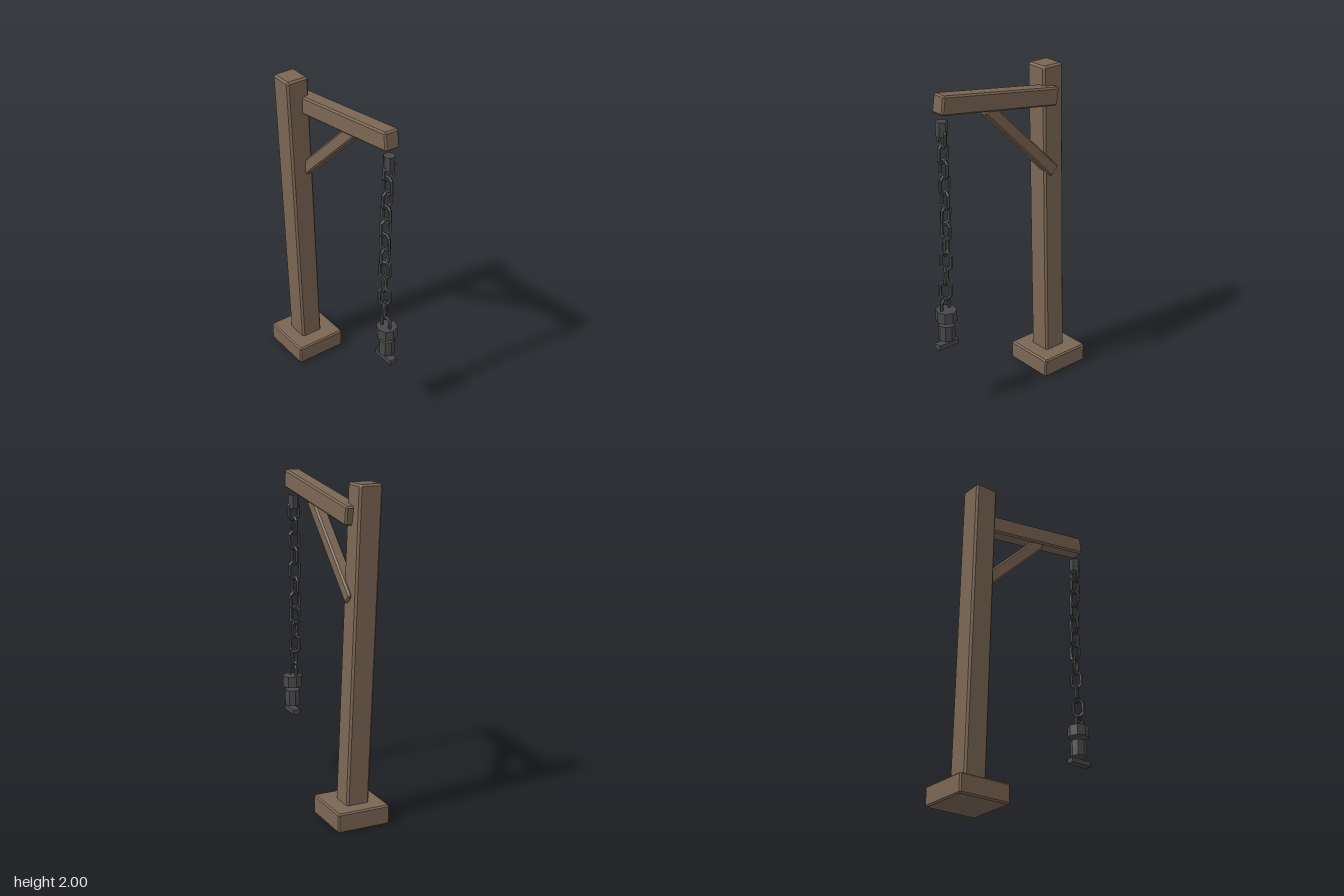
import * as THREE from 'three';
import { ConvexGeometry } from 'three/addons/geometries/ConvexGeometry.js';

// Box with flat chamfers on every edge
function chamferBox(w, h, d, c) {
  const pts = [];
  for (const sx of [-1, 1]) for (const sy of [-1, 1]) for (const sz of [-1, 1]) {
    const x = w / 2, y = h / 2, z = d / 2;
    pts.push(new THREE.Vector3(sx * x, sy * (y - c), sz * (z - c)));
    pts.push(new THREE.Vector3(sx * (x - c), sy * y, sz * (z - c)));
    pts.push(new THREE.Vector3(sx * (x - c), sy * (y - c), sz * z));
  }
  return new ConvexGeometry(pts);
}

// Faceted cylinder
function prism(radius, height, sides) {
  const g = new THREE.CylinderGeometry(radius, radius, height, sides).toNonIndexed();
  g.computeVertexNormals();
  return g;
}

// Elongated low-poly chain link standing in the xy plane
function linkGeometry() {
  let g = new THREE.TorusGeometry(0.034, 0.011, 5, 8);
  g.rotateZ(Math.PI / 8);
  const p = g.attributes.position;
  for (let i = 0; i < p.count; i++) p.setY(i, p.getY(i) + Math.sign(p.getY(i)) * 0.021);
  g = g.toNonIndexed();
  g.computeVertexNormals();
  return g;
}

export function createModel() {
  const model = new THREE.Group();
  model.name = 'hangingPost';
  const wood = new THREE.MeshStandardMaterial({ color: 0x7b6654 });
  wood.name = 'brown wood';
  const iron = new THREE.MeshStandardMaterial({ color: 0x48484a });
  iron.name = 'dark iron';

  const add = (name, geometry, material, x, y, z, parent = model) => {
    const mesh = new THREE.Mesh(geometry, material);
    mesh.name = name;
    mesh.position.set(x, y, z);
    parent.add(mesh);
    return mesh;
  };

  // Foot block
  add('base', chamferBox(0.34, 0.12, 0.335, 0.009), wood, -0.37, 0.06, 0);

  // Post, leaning towards the front
  const post = chamferBox(0.15, 1.92, 0.145, 0.012);
  post.applyMatrix4(new THREE.Matrix4().set(
    1, 0, 0, 0,
    0, 1, 0, 0,
    0, 0.037, 1, 0,
    0, 0, 0, 1));
  post.computeVertexNormals();
  add('post', post, wood, -0.373, 1.04, 0.039);

  // Rising arm and its diagonal brace
  add('arm', chamferBox(0.862, 0.113, 0.096, 0.01), wood, 0.052, 1.879, -0.001)
    .rotation.z = 0.144;
  add('brace', chamferBox(0.725, 0.078, 0.07, 0.01), wood, -0.114, 1.594, -0.002)
    .rotation.z = Math.PI / 4 - 0.005;

  // Chain: cap, then links of [x, y, turn in degrees]
  const chain = new THREE.Group();
  chain.name = 'chain';
  model.add(chain);
  add('chainCap', prism(0.035, 0.085, 6), iron, 0.455, 1.797, 0, chain);
  const link = linkGeometry();
  const links = [
    [0.454, 1.74, 88], [0.45, 1.648, 4], [0.447, 1.555, 92], [0.444, 1.458, 5],
    [0.441, 1.365, 86], [0.441, 1.268, 8], [0.442, 1.17, 98], [0.444, 1.075, 30],
    [0.446, 0.98, 128], [0.449, 0.885, 42], [0.456, 0.79, 132],
  ];
  links.forEach(([x, y, turn], i) => {
    const m = add('link' + (i + 1), link, iron, x, y, 0, chain);
    m.rotation.y = THREE.MathUtils.degToRad(turn);
    m.rotation.z = i % 2 ? 0.04 : -0.04;
  });

  // Lock at the end of the chain
  const lock = new THREE.Group();
  lock.name = 'lock';
  lock.position.set(0.464, 0, -0.013);
  model.add(lock);
  add('shackle', link, iron, 0, 0.685, 0.008, lock).rotation.y = 0.2;
  add('lockCollar', prism(0.065, 0.07, 8), iron, 0, 0.635, 0, lock);
  add('lockBody', prism(0.051, 0.1, 8), iron, 0, 0.525, 0, lock);
  add('lockBar', new THREE.BoxGeometry(0.145, 0.032, 0.047), iron, 0, 0.439, 0, lock);

  return model;
}
